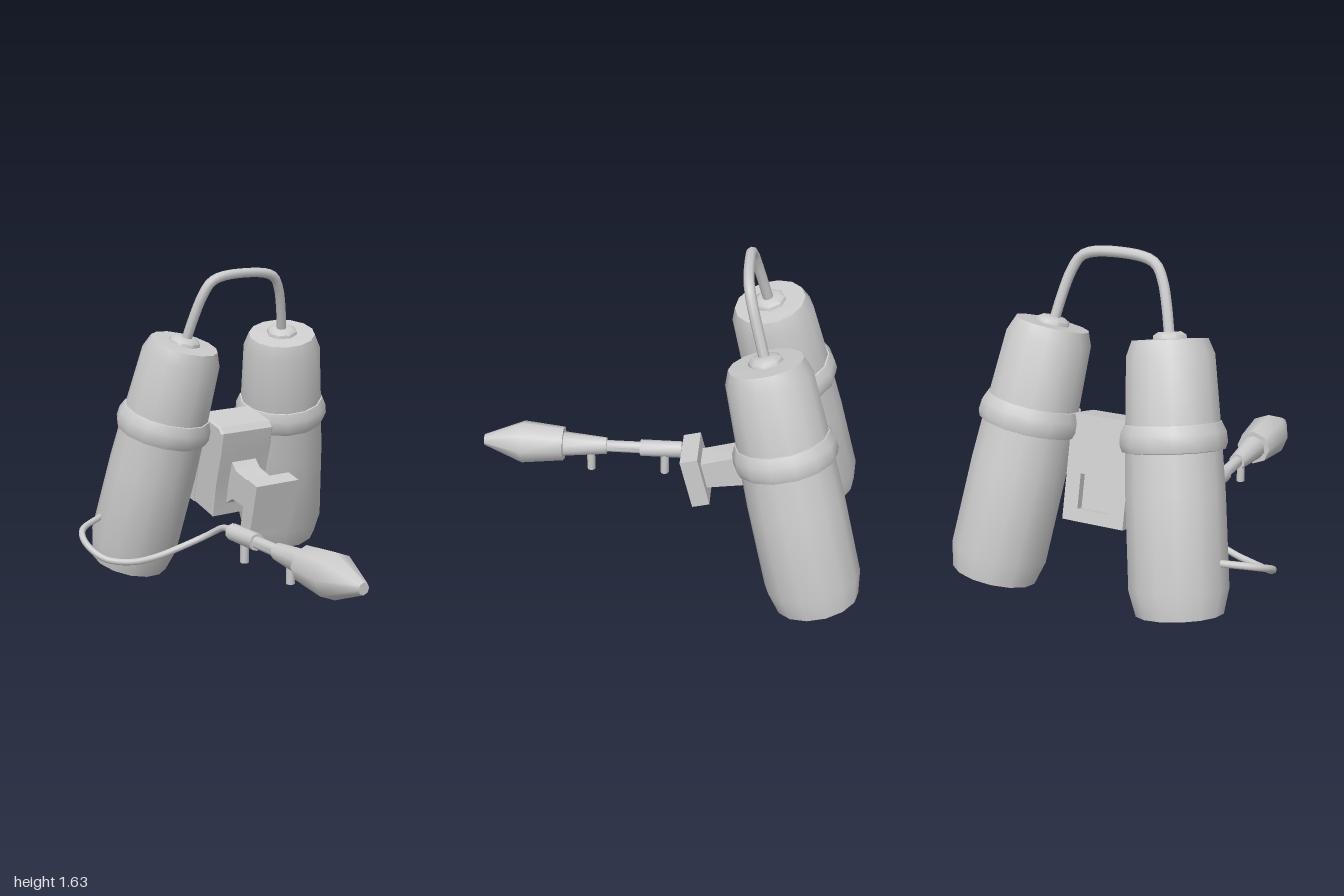
import * as THREE from 'three';
import { toCreasedNormals } from 'three/addons/utils/BufferGeometryUtils.js';

const CX = 0.075; // mirror plane of the pack
const TILT = 0.245; // forward lean of the pack
const material = new THREE.MeshStandardMaterial({ color: 0xcccccc });

function add(parent, name, geometry, crease = 0.9) {
  const mesh = new THREE.Mesh(crease ? toCreasedNormals(geometry, crease) : geometry, material);
  mesh.name = name;
  parent.add(mesh);
  return mesh;
}

// Revolved part from [radius, height] pairs, bottom to top
function lathe(points, sides) {
  return new THREE.LatheGeometry(points.map(([r, y]) => new THREE.Vector2(r, y)), sides);
}

function tube(points, radius, segments) {
  const curve = new THREE.CatmullRomCurve3(points.map((p) => new THREE.Vector3(...p)), false, 'centripetal');
  return new THREE.TubeGeometry(curve, segments, radius, 8);
}

// Side profile in [z, y], extruded across x and centred
function sideExtrude(points, width, bevel = 0) {
  const shape = new THREE.Shape(points.map(([z, y]) => new THREE.Vector2(z, y)));
  const depth = width - 2 * bevel;
  const g = new THREE.ExtrudeGeometry(shape, {
    depth, bevelEnabled: bevel > 0, bevelSize: bevel, bevelThickness: bevel, bevelOffset: -bevel, bevelSegments: 1,
  });
  return g.translate(0, 0, -depth / 2).rotateY(-Math.PI / 2);
}

function makeTank(side) {
  const tank = new THREE.Group();
  tank.name = side > 0 ? 'leftTank' : 'rightTank';
  const bottom = new THREE.Vector3(CX + side * 0.495, 0.06, -0.79);
  const top = new THREE.Vector3(CX + side * 0.305, 1.265, -0.49);
  tank.position.copy(bottom);
  tank.quaternion.setFromUnitVectors(new THREE.Vector3(0, 1, 0), top.sub(bottom).normalize());
  add(tank, 'tankBody', lathe([
    [0, 0], [0.205, 0], [0.235, 0.12], [0.233, 0.55], [0.222, 0.85], [0.206, 1.18], [0.178, 1.25], [0, 1.255],
  ], 14));
  add(tank, 'tankBand', lathe([
    [0.22, 0.745], [0.24, 0.75], [0.251, 0.78], [0.247, 0.83], [0.228, 0.872], [0.21, 0.875],
  ], 14));
  add(tank, 'tankCap', lathe([[0.085, 1.24], [0.08, 1.27], [0.055, 1.285], [0, 1.285]], 8));
  return tank;
}

function makePack() {
  const pack = new THREE.Group();
  pack.name = 'centrePack';
  pack.position.set(CX, 0.58, -0.53);
  pack.rotation.x = TILT;

  add(pack, 'packBody', sideExtrude([
    [-0.075, -0.245], [0.115, -0.245], [0.105, -0.06], [0.115, 0.12], [0.112, 0.24], [0.08, 0.265], [-0.075, 0.265],
  ], 0.325, 0.01), 0.5);

  // Back plate with a square socket
  const plate = new THREE.Shape();
  plate.moveTo(-0.16, -0.245).lineTo(0.16, -0.245).lineTo(0.16, 0.265).lineTo(-0.16, 0.265).closePath();
  const socket = new THREE.Path();
  socket.moveTo(-0.085, -0.185).lineTo(-0.085, -0.015).lineTo(0.085, -0.015).lineTo(0.085, -0.185).closePath();
  plate.holes.push(socket);
  const back = new THREE.ExtrudeGeometry(plate, { depth: 0.045, bevelEnabled: false });
  add(pack, 'backPlate', back.translate(0, 0, -0.117), 0);

  // Neck and front pad
  add(pack, 'padNeck', sideExtrude([
    [0.09, -0.2], [0.16, -0.13], [0.36, -0.11], [0.36, 0.03], [0.16, 0.035], [0.09, 0.08],
  ], 0.15), 0.7);
  add(pack, 'frontPad', new THREE.BoxGeometry(0.26, 0.27, 0.09), 0).position.set(-0.005, -0.046, 0.393);
  return pack;
}

function makeNozzle() {
  const nozzle = new THREE.Group();
  nozzle.name = 'nozzle';
  nozzle.position.set(-0.225, 0.36, 0);
  // Turned parts run along z
  const turned = (name, points, sides) => add(nozzle, name, lathe(points, sides).rotateX(Math.PI / 2));
  turned('rearGrip', [[0, -0.06], [0.044, -0.06], [0.044, 0.16], [0, 0.16]], 10);
  turned('barrel', [[0.031, 0.15], [0.031, 0.36]], 10);
  turned('barrelCone', [[0, 0.34], [0.044, 0.34], [0.066, 0.575]], 10);
  turned('nozzleHead', [[0, 0.57], [0.092, 0.57], [0.115, 0.79], [0.03, 1], [0, 1]], 8);
  for (const z of [0.03, 0.425]) {
    add(nozzle, 'handGrip', new THREE.CylinderGeometry(0.022, 0.022, 0.12, 8)).position.set(0.012, -0.08, z);
  }
  return nozzle;
}

export function createModel() {
  const model = new THREE.Group();
  model.name = 'tankBackpack';
  model.add(makeTank(1), makeTank(-1), makePack(), makeNozzle());

  // Pipe joining the two tank caps
  const half = [[0.305, 1.25, -0.492], [0.265, 1.42, -0.445], [0.235, 1.51, -0.42], [0.195, 1.575, -0.403], [0.125, 1.603, -0.395]];
  const pipe = [
    ...half.map(([x, y, z]) => [CX - x, y, z]),
    ...half.slice().reverse().map(([x, y, z]) => [CX + x, y, z]),
  ];
  add(model, 'topPipe', tube(pipe, 0.026, 36), 0);

  // Hose from the right tank to the nozzle
  add(model, 'hose', tube([
    [-0.225, 0.36, -0.04], [-0.21, 0.35, -0.17], [-0.25, 0.29, -0.27], [-0.35, 0.24, -0.325], [-0.5, 0.195, -0.365],
    [-0.62, 0.182, -0.4], [-0.73, 0.2, -0.47], [-0.782, 0.26, -0.57], [-0.755, 0.307, -0.67], [-0.6, 0.335, -0.76],
  ], 0.017, 48), 0);
  return model;
}
